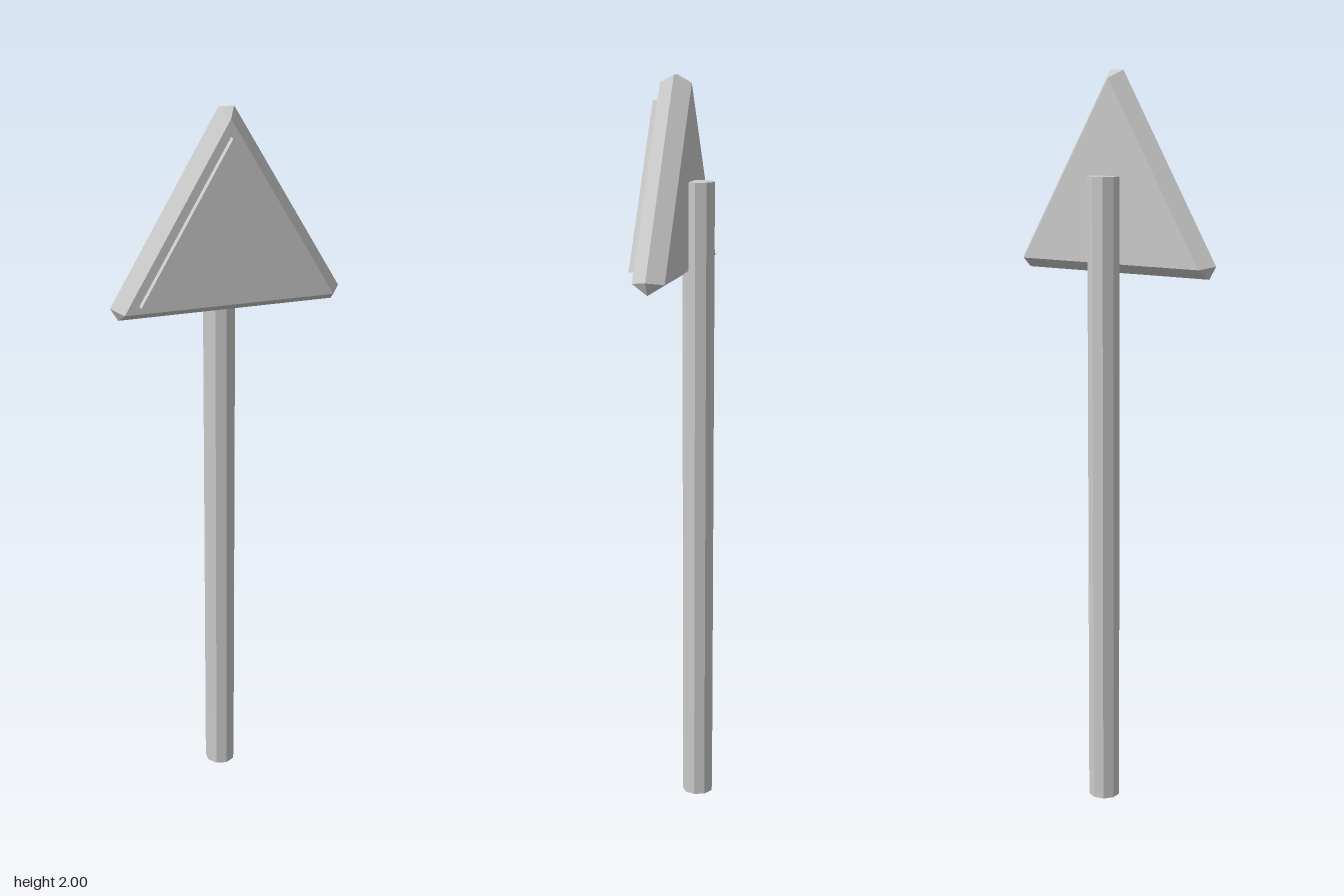
import * as THREE from 'three';
import { ConvexGeometry } from 'three/addons/geometries/ConvexGeometry.js';

const material = new THREE.MeshStandardMaterial({ color: 0xcccccc, flatShading: true });

function addPart(group, name, geometry, x, y, z) {
  const mesh = new THREE.Mesh(geometry, material);
  mesh.name = name;
  mesh.position.set(x, y, z);
  group.add(mesh);
}

// Repeats the given top-corner points at all three corners of a triangle
function threeCorners(points) {
  const axis = new THREE.Vector3(0, 0, 1);
  return [0, 1, 2].flatMap((i) =>
    points.map(([x, y, z]) => new THREE.Vector3(x, y, z).applyAxisAngle(axis, (i * Math.PI * 2) / 3))
  );
}

export function createModel() {
  const group = new THREE.Group();
  group.name = 'triangularRoadSign';
  const centreY = 1.66;

  // Nine-sided post behind the board
  const post = new THREE.CylinderGeometry(0.043, 0.043, 1.73, 9, 1, false, Math.PI / 2);
  addPart(group, 'post', post, 0, 0.865, -0.042);

  // Board with bevelled edges meeting at a blunt ridge on each corner
  const board = new ConvexGeometry(threeCorners([
    [0, 0.32, 0.0425],
    [0, 0.32, -0.0425],
    [0.02, 0.341, 0],
    [-0.02, 0.341, 0],
  ]));
  addPart(group, 'board', board, 0, centreY, 0.0205);

  // Raised triangular panel on the front
  const panel = new ConvexGeometry(threeCorners([
    [0, 0.276, 0],
    [0, 0.276, 0.021],
  ]));
  addPart(group, 'facePanel', panel, 0, centreY, 0.061);

  return group;
}
